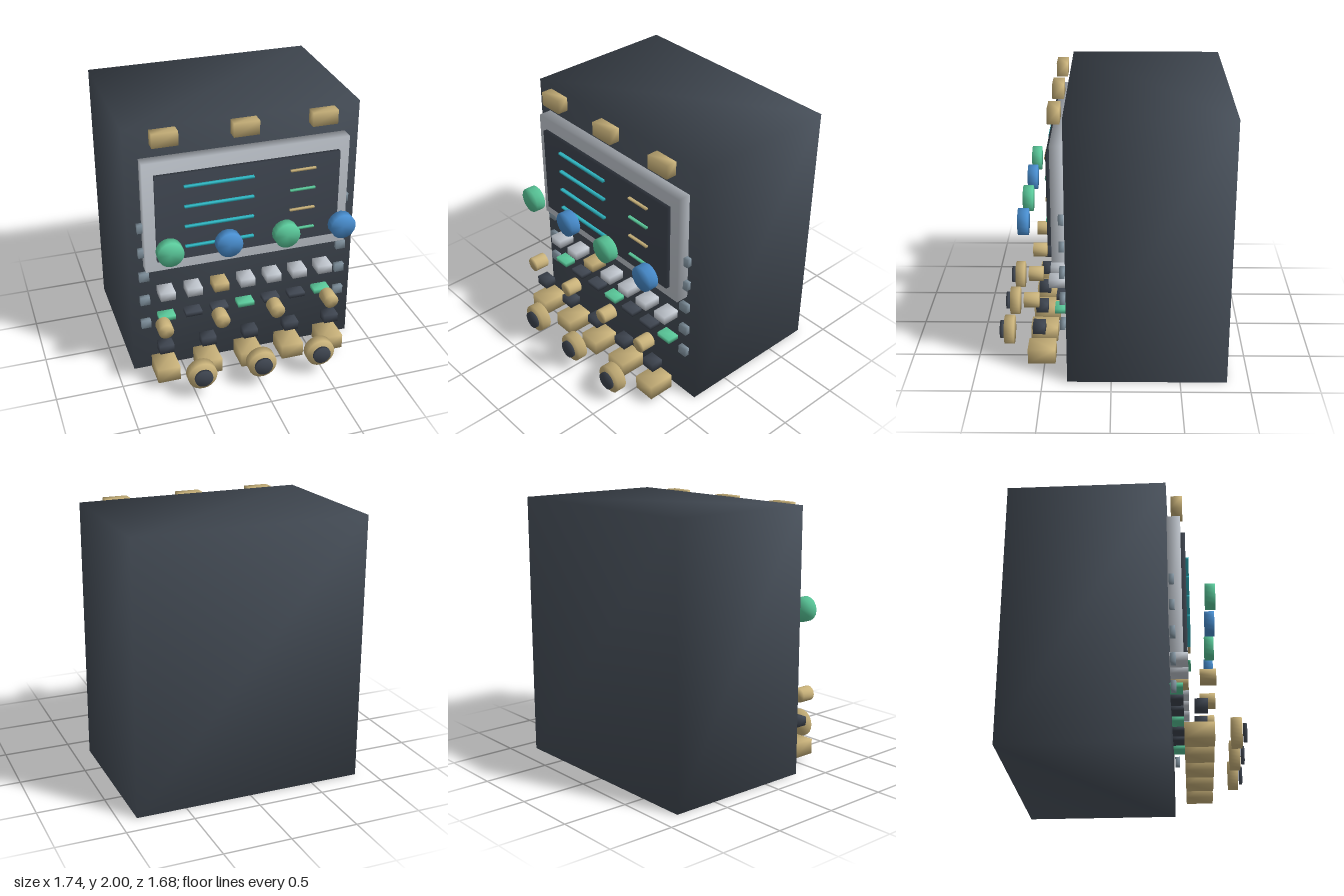
import * as THREE from 'three';
import { mergeVertices } from 'three/addons/utils/BufferGeometryUtils.js';

function material(name, color) {
  const m = new THREE.MeshStandardMaterial({ color });
  m.name = name;
  return m;
}

// Weld corners so normals blend softly across every edge
function soften(geometry) {
  geometry.deleteAttribute('normal');
  geometry.deleteAttribute('uv');
  const g = mergeVertices(geometry, 1e-4);
  g.computeVertexNormals();
  return g;
}

export function createModel() {
  const root = new THREE.Group();
  root.name = 'controlConsole';

  const body = material('charcoal', 0x464e58);
  const dark = material('dark slate', 0x404752);
  const silver = material('silver', 0xc4cad2);
  const steel = material('steel blue', 0x8799a6);
  const gold = material('brass', 0xcab37b);
  const cyan = material('cyan', 0x30bac7);
  const green = material('green', 0x5bcb9c);
  const blue = material('blue', 0x4a90d2);

  function add(name, geometry, mat, x, y, z) {
    const mesh = new THREE.Mesh(geometry, mat);
    mesh.name = name;
    mesh.position.set(x, y, z);
    root.add(mesh);
  }

  // Box centred on x, y and spanning z0 to z1
  function block(name, mat, x, y, w, h, z0, z1) {
    add(name, soften(new THREE.BoxGeometry(w, h, z1 - z0)), mat, x, y, (z0 + z1) / 2);
  }

  // Round knob facing the front
  function knob(name, mat, x, y, r, z0, z1, sides = 16) {
    const g = new THREE.CylinderGeometry(r, r, z1 - z0, sides);
    g.rotateX(Math.PI / 2);
    add(name, soften(g), mat, x, y, (z0 + z1) / 2);
  }

  // Cabinet, bezel and screen
  block('cabinet', body, 0, 1, 1.74, 2, -0.84, 0.32);
  block('screenBezel', silver, 0, 1.345, 1.53, 0.865, 0.32, 0.418);
  block('screen', dark, 0, 1.345, 1.37, 0.68, 0.4, 0.45);

  // Readout lines on the screen
  [1.588, 1.43, 1.27, 1.108].forEach((y, i) => {
    block('longReadout', cyan, -0.225, y, 0.51, 0.017, 0.45, 0.473);
    block('shortReadout', i % 2 ? green : gold, 0.4, y, 0.19, 0.014, 0.452, 0.472);
  });

  // Tabs along the top edge
  for (let i = 0; i < 3; i++) {
    block('topTab', gold, -0.598 + i * 0.582, 1.947, 0.188, 0.105, 0.35, 0.435);
  }

  // Side studs, mirrored
  for (let i = 0; i < 5; i++) {
    for (const s of [-1, 1]) {
      block('sideStud', steel, s * 0.769, 0.425 + i * 0.205, 0.072, 0.066, 0.328, 0.366);
    }
  }

  // Key row with indicator row below
  for (let i = 0; i < 7; i++) {
    const x = (i - 3) * 0.205;
    block('key', i === 2 ? gold : silver, x, 0.694, 0.112, 0.066, 0.32, 0.45);
    block('indicator', i % 3 ? dark : green, x, 0.475, 0.125, 0.036, 0.32, 0.41);
  }

  // Large coloured dials and small brass knobs
  for (let i = 0; i < 4; i++) {
    knob('dial', i % 2 ? blue : green, -0.633 + i * 0.428, 1.175, 0.095, 0.58, 0.653);
    knob('smallKnob', gold, -0.683 + i * 0.4265, 0.525, 0.057, 0.527, 0.637);
  }

  // Dark switches above brass pads
  for (let i = 0; i < 5; i++) {
    const x = -0.667 + i * 0.3243;
    block('switch', dark, x, 0.321, 0.109, 0.068, 0.484, 0.575);
    block('pad', gold, x, 0.116, 0.17, 0.116, 0.412, 0.615);
  }

  // Large knobs with dark caps
  for (let i = 0; i < 3; i++) {
    const x = -0.463 + i * 0.46;
    knob('largeKnob', gold, x, 0.198, 0.109, 0.733, 0.806, 24);
    knob('knobCap', dark, x, 0.198, 0.068, 0.818, 0.84, 20);
  }

  return root;
}
